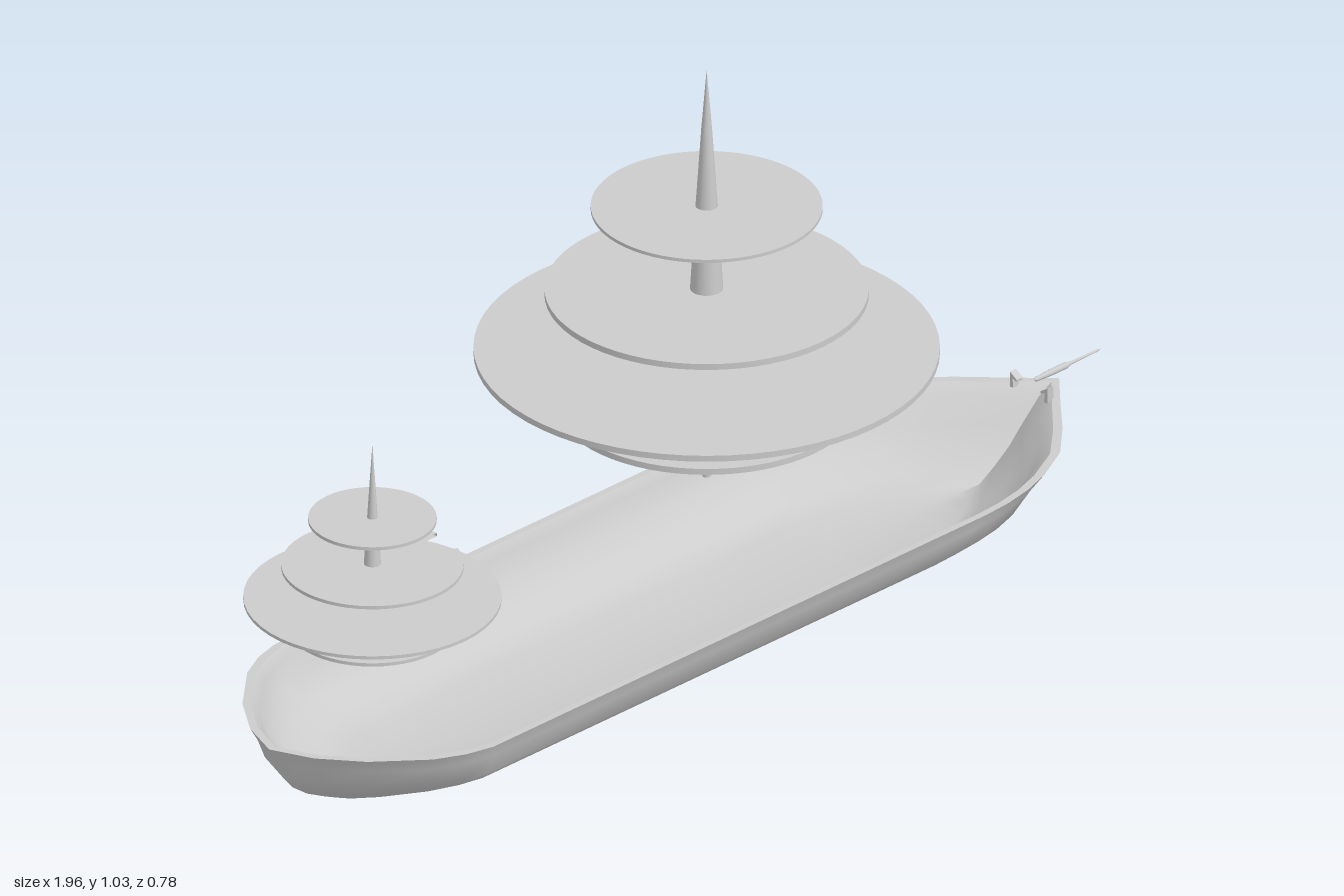
import * as THREE from 'three';

const material = new THREE.MeshStandardMaterial({ color: 0xcccccc, side: THREE.DoubleSide });

function addMesh(parent, geometry, name, x = 0, y = 0, z = 0) {
  const mesh = new THREE.Mesh(geometry, material);
  mesh.name = name;
  mesh.position.set(x, y, z);
  parent.add(mesh);
  return mesh;
}

// Half outline of the hull: [fraction from stern to bow, fraction of half width]
const outline = [
  [0, 0], [0.016, 0.29], [0.045, 0.57], [0.09, 0.85], [0.118, 0.95], [0.145, 1], [0.3, 1], [0.46, 1],
  [0.62, 1], [0.77, 1], [0.8, 0.985], [0.83, 0.945], [0.86, 0.875], [0.9, 0.73], [0.935, 0.5],
  [0.967, 0.25], [1, 0],
];

// Hull cross-sections from rim to keel: [height, stern x, bow x, half width]
const outerLevels = [
  [0.137, -1, 0.86, 0.257], [0.112, -0.985, 0.83, 0.246], [0.075, -0.97, 0.79, 0.235],
  [0.045, -0.945, 0.76, 0.2], [0.02, -0.91, 0.725, 0.16], [0, -0.87, 0.69, 0.125], [0, -0.87, 0.69, 0],
];
const innerLevels = outerLevels.map(([y, stern, bow, w], i) =>
  [i === 0 ? y : y + 0.008, stern + 0.014, bow - 0.018, Math.max(0, w - 0.012)]);

// Skin one side of the hull through a list of levels
function loft(levels, side, inward) {
  const positions = [], index = [], n = outline.length;
  for (const [y, stern, bow, w] of levels) {
    for (const [u, v] of outline) positions.push(stern + (bow - stern) * u, y, side * w * v);
  }
  for (let i = 0; i < levels.length - 1; i++) {
    for (let j = 0; j < n - 1; j++) {
      const a = i * n + j, b = a + 1, c = a + n, d = c + 1;
      if ((side > 0) !== inward) index.push(a, c, b, b, c, d);
      else index.push(a, b, c, b, d, c);
    }
  }
  const geometry = new THREE.BufferGeometry();
  geometry.setAttribute('position', new THREE.Float32BufferAttribute(positions, 3));
  geometry.setIndex(index);
  geometry.computeVertexNormals();
  return geometry;
}

function makeHull() {
  const hull = new THREE.Group();
  hull.name = 'hull';
  for (const side of [1, -1]) {
    addMesh(hull, loft(outerLevels, side, false), 'hullOuter');
    addMesh(hull, loft(innerLevels, side, true), 'hullInner');
    addMesh(hull, loft([outerLevels[0], innerLevels[0]], side, true), 'hullRim');
  }
  return hull;
}

const lathe = (profile, segments) =>
  new THREE.LatheGeometry(profile.map(([r, y]) => new THREE.Vector2(r, y)), segments);

// Tall mast with four flat round tiers
function makeMainMast() {
  const mast = new THREE.Group();
  mast.name = 'mainMast';
  mast.position.x = 0.03;
  addMesh(mast, lathe([
    [0, 0.288], [0.033, 0.289], [0.039, 0.3], [0.042, 0.318], [0.041, 0.35], [0.036, 0.45],
    [0.029, 0.6], [0.019, 0.77], [0.009, 0.92], [0, 1.03],
  ], 20), 'mainTrunk');
  addMesh(mast, new THREE.CylinderGeometry(0.007, 0.007, 0.03, 10), 'mainTrunkPin', 0, 0.28);
  for (const [y, r] of [[0.405, 0.25], [0.503, 0.388], [0.613, 0.27], [0.771, 0.193]]) {
    addMesh(mast, new THREE.CylinderGeometry(r, r, y > 0.7 ? 0.006 : 0.011, 64), 'mainTier', 0, y);
  }
  // Shallow cone under the top tier
  addMesh(mast, new THREE.CylinderGeometry(0.19, 0.03, 0.011, 64, 1, true), 'topTierUnderside', 0, 0.763);
  return mast;
}

// Small mast at the stern, with one tier cut open
function makeSternMast() {
  const mast = new THREE.Group();
  mast.name = 'sternMast';
  mast.position.x = -0.757;
  addMesh(mast, lathe([
    [0, 0.279], [0.02, 0.28], [0.018, 0.33], [0.014, 0.4], [0.009, 0.48], [0.004, 0.56], [0, 0.62],
  ], 16), 'sternTrunk');
  const pin = addMesh(mast, new THREE.CylinderGeometry(0.011, 0.006, 0.075, 10), 'sternTrunkPin', -0.016, 0.273, -0.01);
  pin.rotation.z = -0.04;
  const gap = 0.42;
  for (const [y, r, cut] of [[0.279, 0.14, 0], [0.332, 0.215, 0], [0.393, 0.152, gap], [0.48, 0.107, 0]]) {
    addMesh(mast, new THREE.CylinderGeometry(r, r, 0.006, 48, 1, false, Math.PI / 2, Math.PI * 2 - cut),
      'sternTier', 0, y);
  }
  return mast;
}

// Pointed bowsprit between two small hooked cleats
function makeBowFittings() {
  const fittings = new THREE.Group();
  fittings.name = 'bowFittings';
  const sprit = addMesh(fittings, lathe([
    [0, 0], [0.004, 0.005], [0.006, 0.04], [0.006, 0.075], [0.003, 0.085], [0.002, 0.15], [0, 0.16],
  ], 10), 'bowsprit', 0.803, 0.153, -0.003);
  sprit.rotation.z = -Math.PI / 2;

  for (const side of [1, -1]) {
    const hook = new THREE.Shape();
    [[0.044, 0.132], [0.044, 0.16], [0.028, 0.15], [0.028, 0.145], [0.038, 0.15], [0.036, 0.132]]
      .forEach(([z, y], i) => (i ? hook.lineTo(-side * z, y) : hook.moveTo(-side * z, y)));
    const geometry = new THREE.ExtrudeGeometry(hook, { depth: 0.014, bevelEnabled: false });
    geometry.rotateY(Math.PI / 2);
    addMesh(fittings, geometry, 'cleat', 0.788);
  }
  return fittings;
}

export function createModel() {
  const ship = new THREE.Group();
  ship.name = 'ship';
  ship.add(makeHull(), makeMainMast(), makeSternMast(), makeBowFittings());
  return ship;
}
